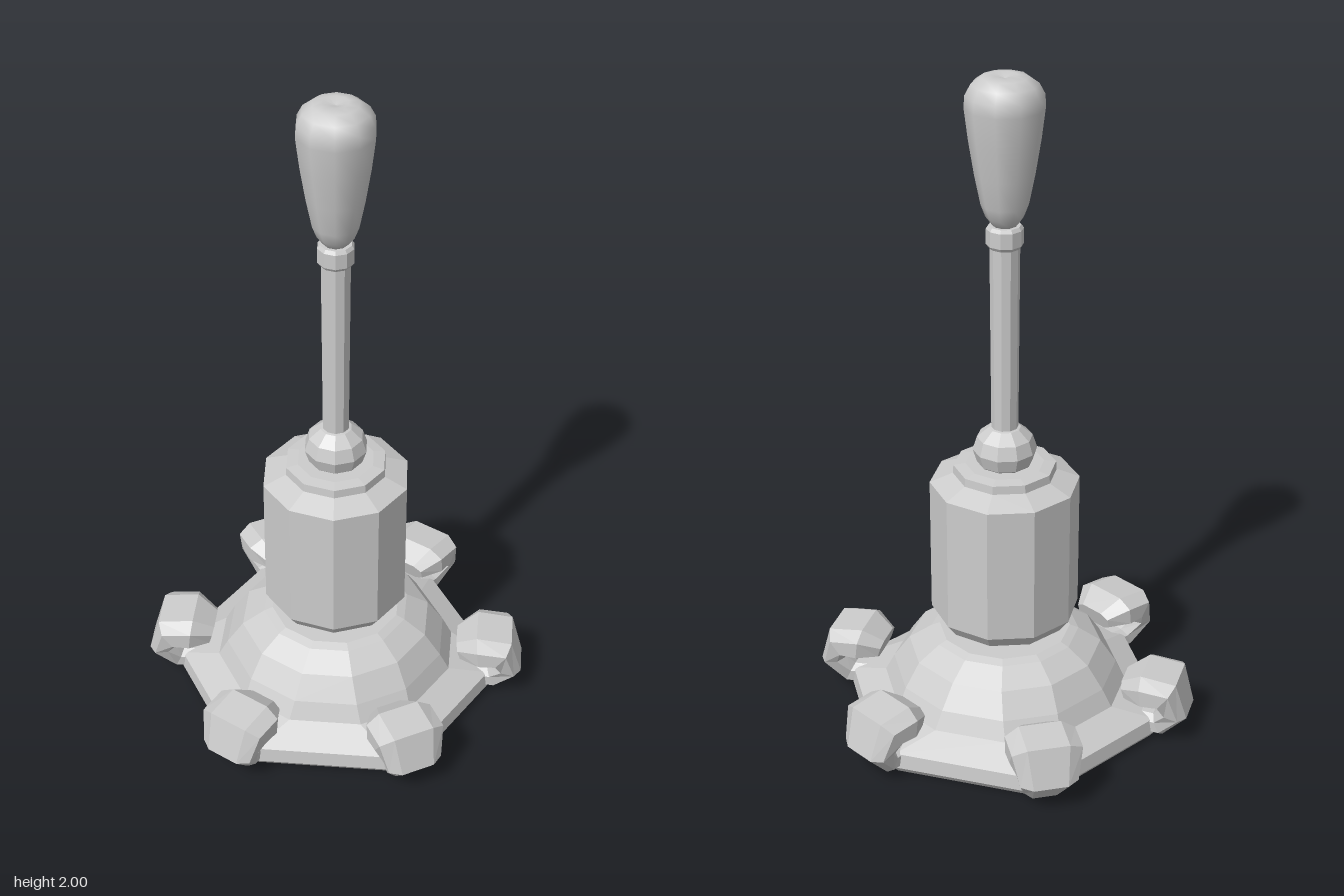
import * as THREE from 'three';

const flat = new THREE.MeshStandardMaterial({ color: 0xcccccc, flatShading: true });
const smooth = new THREE.MeshStandardMaterial({ color: 0xcccccc });
const TWIST = THREE.MathUtils.degToRad(2.5);

// Skin closed rings of points, with both ends capped
function loft(rings) {
  const pos = [];
  const tri = (...pts) => pts.forEach((p) => pos.push(p.x, p.y, p.z));
  const n = rings[0].length;
  const centre = (ring) => ring.reduce((s, p) => s.add(p), new THREE.Vector3()).divideScalar(n);
  const first = rings[0], last = rings[rings.length - 1];
  const c0 = centre(first), c1 = centre(last);
  for (let j = 0; j < n; j++) {
    const k = (j + 1) % n;
    for (let i = 0; i < rings.length - 1; i++) {
      const a = rings[i], b = rings[i + 1];
      tri(a[j], a[k], b[k]);
      tri(a[j], b[k], b[j]);
    }
    tri(c0, first[k], first[j]);
    tri(c1, last[j], last[k]);
  }
  const g = new THREE.BufferGeometry();
  g.setAttribute('position', new THREE.Float32BufferAttribute(pos, 3));
  g.computeVertexNormals();
  return g;
}

// Turned part with its first corner on the x axis
function turned(name, profile, material = flat, sides = 10) {
  const pts = profile.map(([r, y]) => new THREE.Vector2(r, y));
  const mesh = new THREE.Mesh(new THREE.LatheGeometry(pts, sides, Math.PI / 2, Math.PI * 2), material);
  mesh.name = name;
  return mesh;
}

// Hexagon ring whose corners are cut by `cut` degrees to each side
function hexRing(apothem, y, cut) {
  const ring = [];
  const r = apothem / Math.cos(THREE.MathUtils.degToRad(30 - cut));
  for (let k = 0; k < 6; k++) {
    for (const s of [-1, 1]) {
      const a = THREE.MathUtils.degToRad(60 * k + s * cut);
      ring.push(new THREE.Vector3(r * Math.cos(a), y, -r * Math.sin(a)));
    }
  }
  return ring;
}

// Curled claw: [radius, height, half thickness, half width] along its path
function clawGeometry() {
  const path = [
    [0.41, 0.045, 0.035, 0.05],
    [0.49, 0.045, 0.037, 0.06],
    [0.538, 0.1, 0.042, 0.085],
    [0.515, 0.165, 0.052, 0.104],
    [0.445, 0.168, 0.052, 0.104],
    [0.385, 0.15, 0.03, 0.065],
  ];
  const section = [[1, -0.6], [1, 0.6], [0.5, 1], [-0.5, 1], [-1, 0.6], [-1, -0.6], [-0.5, -1], [0.5, -1]];
  return loft(path.map(([r, y, t, w], i) => {
    const p = path[Math.max(i - 1, 0)], q = path[Math.min(i + 1, path.length - 1)];
    const d = new THREE.Vector2(q[0] - p[0], q[1] - p[1]).normalize();
    return section.map(([u, v]) => new THREE.Vector3(r - d.y * t * u, y + d.x * t * u, w * v));
  }));
}

export function createModel() {
  const model = new THREE.Group();
  model.name = 'lever';

  // Six-sided foot rising into a rounder dome
  const base = new THREE.Mesh(loft([
    hexRing(0.425, 0, 5), hexRing(0.44, 0.02, 5), hexRing(0.435, 0.065, 5),
    hexRing(0.35, 0.11, 13), hexRing(0.325, 0.165, 14),
    hexRing(0.28, 0.235, 15), hexRing(0.215, 0.278, 15), hexRing(0.19, 0.288, 15),
  ]), flat);
  base.name = 'base';
  base.rotation.y = TWIST;
  model.add(base);

  // Claws on the corners of the foot
  const claw = clawGeometry();
  for (let k = 0; k < 6; k++) {
    const mesh = new THREE.Mesh(claw, flat);
    mesh.name = 'claw' + (k + 1);
    mesh.rotation.y = TWIST + (k * Math.PI) / 3;
    model.add(mesh);
  }

  // Column, stepped cap and pivot ball
  model.add(turned('neck', [[0.103, 0.27], [0.103, 0.34]]));
  model.add(turned('body', [
    [0, 0.325], [0.19, 0.325], [0.22, 0.365], [0.22, 0.782], [0.152, 0.81],
    [0.15, 0.835], [0.115, 0.84], [0, 0.84],
  ]));
  const ball = [];
  for (let i = 0; i <= 6; i++) {
    const a = (i / 6 - 0.5) * Math.PI;
    ball.push([0.094 * Math.cos(a), 0.885 + 0.08 * Math.sin(a)]);
  }
  model.add(turned('pivotBall', ball));

  // Rod, collar and handle
  model.add(turned('rod', [[0.039, 0.93], [0.043, 1.52]]));
  model.add(turned('collar', [
    [0, 1.51], [0.046, 1.51], [0.053, 1.52], [0.053, 1.565], [0.046, 1.575], [0, 1.575],
  ]));
  model.add(turned('handle', [
    [0, 1.57], [0.035, 1.575], [0.054, 1.6], [0.067, 1.635], [0.084, 1.72], [0.1, 1.82],
    [0.111, 1.91], [0.109, 1.945], [0.093, 1.975], [0.065, 1.995], [0.035, 2], [0, 1.99],
  ], smooth));

  return model;
}
